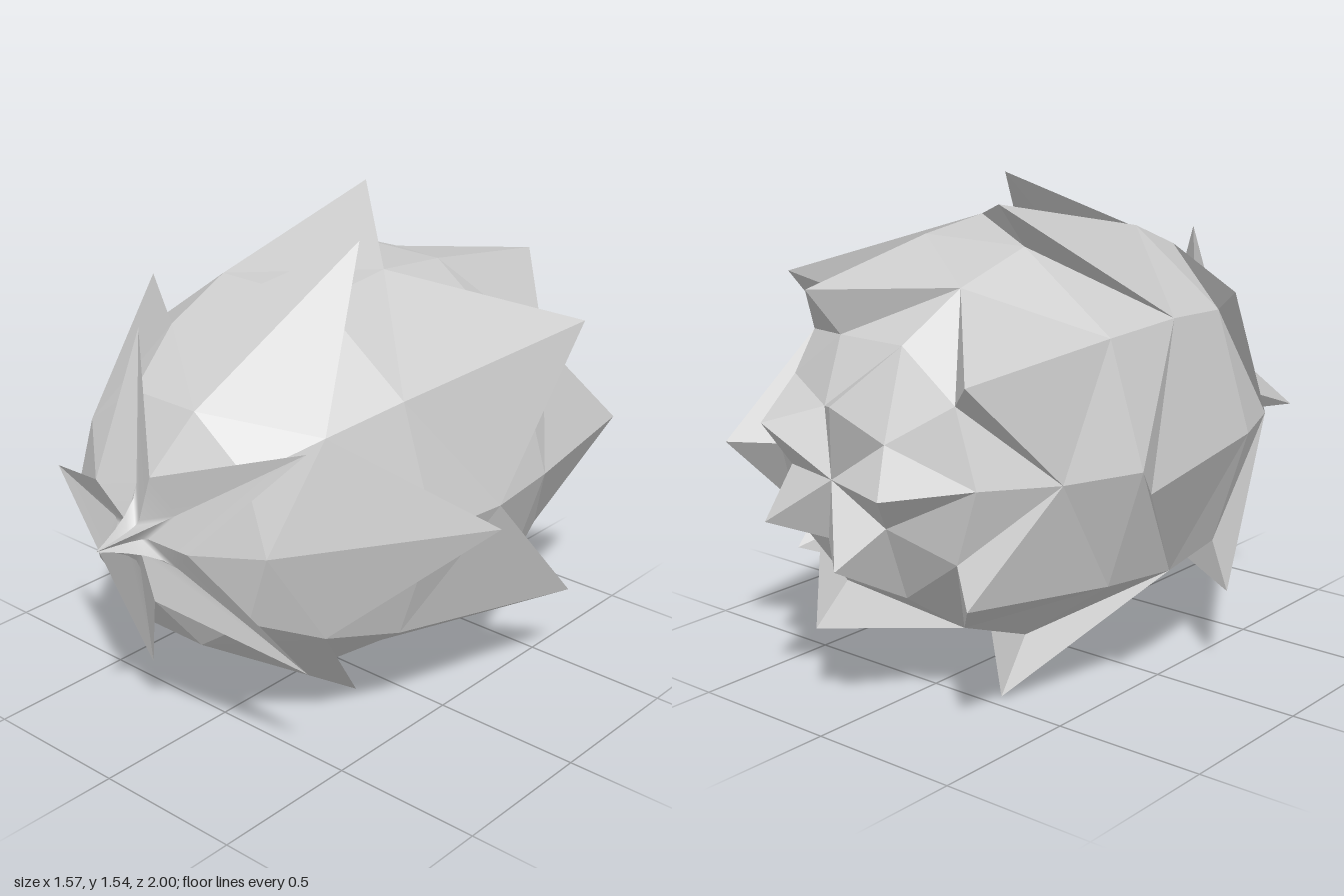
import * as THREE from 'three';

const COLUMNS = 10;
const AXIS_Y = 0.772;
const STEP = Math.PI / COLUMNS;

// Pulled-out scale tips on the odd rings: radius, z, sideways shift
const TIPS = {
  1: [0.589, 0.67, 0.039],
  3: [0.808, 0.11, -0.027],
  5: [0.8, -0.46, 0.01],
  7: [0.547, -0.845, 0],
  9: [0.255, -1, 0],
};

// On odd rings every second point is a tip, turned half a step from ring to ring
const isTip = (n, j) => n % 2 === 1 && (j + (n - 1) / 2) % 2 === 1;

// Ring n of an egg-shaped body lying along z, with its tips pulled out
function ring(n) {
  const body = [0.68 * Math.sin(n * STEP), -0.02 + 0.905 * Math.cos(n * STEP), 0];
  return Array.from({ length: COLUMNS }, (_, j) => {
    const [r, z, shift] = isTip(n, j) ? TIPS[n] : body;
    const a = j * 2 * STEP;
    return new THREE.Vector3(shift + r * Math.cos(a), AXIS_Y + r * Math.sin(a), z);
  });
}

// Faces between ring n and the next; each quad is split from its valley point
function band(n) {
  const up = ring(n);
  const low = ring(n + 1);
  const points = [];
  for (let j = 0; j < COLUMNS; j++) {
    const k = (j + 1) % COLUMNS;
    const [a, b, c, d] = [up[j], up[k], low[j], low[k]];
    const splitFromA = n % 2 === 1 ? !isTip(n, j) : isTip(n + 1, j);
    points.push(...(splitFromA ? [a, c, d, a, d, b] : [a, c, b, b, c, d]));
  }
  return points;
}

// Star of front leaves drawn up into a thin central spike;
// every sector is smooth, with sharp creases along the spokes
function frontStar() {
  const rim = ring(1);
  const rows = [0, 0.03, 0.07, 0.12, 0.18, 0.25, 1];
  const center = new THREE.Vector3(0, AXIS_Y, 0.845);
  const points = [];
  const index = [];
  for (let j = 0; j < COLUMNS; j++) {
    rows.forEach((f, i) => {
      for (const corner of [rim[j], rim[(j + 1) % COLUMNS]]) {
        const p = center.clone().lerp(corner, f);
        p.z += 0.155 * Math.max(0, 1 - f / 0.25) ** 2;
        points.push(p);
      }
      if (i === 0) return;
      const s = points.length - 4;
      index.push(s, s + 2, s + 3);
      if (i > 1) index.push(s, s + 3, s + 1);
    });
  }
  const geometry = new THREE.BufferGeometry().setFromPoints(points);
  geometry.setIndex(index);
  geometry.computeVertexNormals();
  return geometry;
}

export function createModel() {
  const group = new THREE.Group();
  const flat = new THREE.MeshStandardMaterial({ color: 0xcccccc, flatShading: true, side: THREE.DoubleSide });
  const smooth = new THREE.MeshStandardMaterial({ color: 0xcccccc, side: THREE.DoubleSide });

  function addMesh(name, geometry, material) {
    const mesh = new THREE.Mesh(geometry, material);
    mesh.name = name;
    group.add(mesh);
  }

  function addFacets(name, points) {
    const geometry = new THREE.BufferGeometry().setFromPoints(points);
    geometry.computeVertexNormals();
    addMesh(name, geometry, flat);
  }

  addMesh('frontLeaves', frontStar(), smooth);
  addFacets('leafUndersides', band(1));

  // Overlapping rings of pointed scales
  for (const n of [2, 4, 6]) addFacets(`scaleRing${n / 2}`, [...band(n), ...band(n + 1)]);
  addFacets('backScales', band(8));

  // Small star closing the back
  const rim = ring(9);
  const pole = new THREE.Vector3(0, AXIS_Y, -0.925);
  addFacets('backStar', rim.flatMap((p, j) => [p, pole, rim[(j + 1) % COLUMNS]]));

  return group;
}
